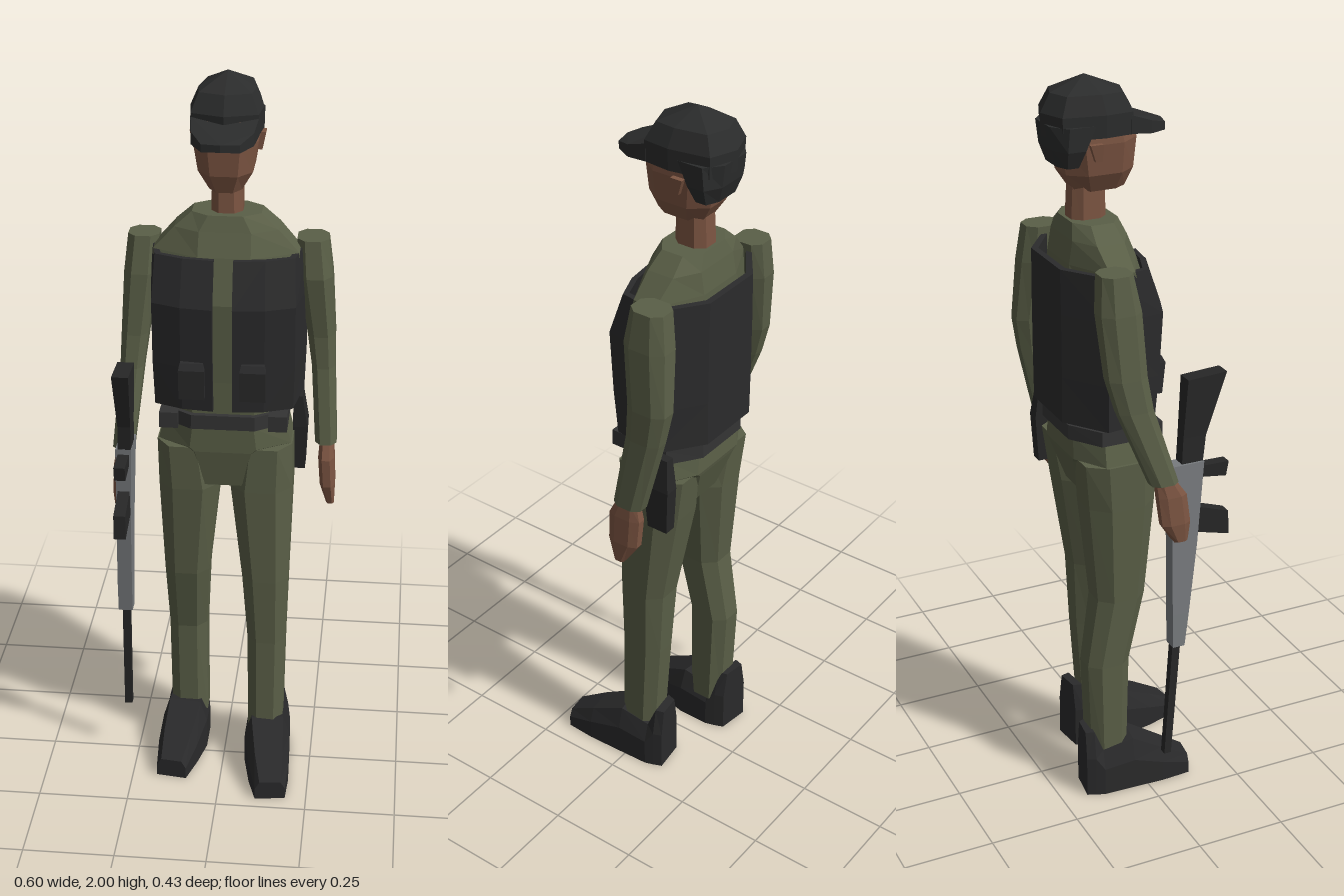
import * as THREE from 'three';

const mat = (name, color) => Object.assign(new THREE.MeshStandardMaterial({ color, flatShading: true }), { name });

// Octagonal cross-section at height y: a rectangle with cut corners
function oct(y, x0, x1, z0, z1, c = 0.25) {
  const a = (x1 - x0) * c, b = (z1 - z0) * c;
  return [[x0 + a, z0], [x1 - a, z0], [x1, z0 + b], [x1, z1 - b], [x1 - a, z1], [x0 + a, z1], [x0, z1 - b], [x0, z0 + b]]
    .map(([x, z]) => [x, y, z]);
}

// Rectangular cross-section; dy tilts it from back to front
const rect = (y, x0, x1, z0, z1, dy = 0) =>
  [[x0, y, z0], [x1, y, z0], [x1, y + dy, z1], [x0, y + dy, z1]];

// Closed, capped skin through a list of cross-sections; u and v are the axes of the cap plane
function loft(rings, u = 0, v = 2) {
  const n = rings[0].length, tris = [];
  for (let r = 0; r < rings.length - 1; r++) {
    for (let i = 0; i < n; i++) {
      const j = (i + 1) % n, a = rings[r], b = rings[r + 1];
      tris.push([a[i], b[i], b[j]], [a[i], b[j], a[j]]);
    }
  }
  // The first cap follows the ring order, the last cap runs against it
  const cap = (ring, last) => {
    const flat = ring.map(p => new THREE.Vector2(p[u], p[v]));
    const ccw = THREE.ShapeUtils.area(flat) > 0;
    for (const f of THREE.ShapeUtils.triangulateShape(flat, [])) {
      const sameWay = (THREE.ShapeUtils.area(f.map(i => flat[i])) > 0) === ccw;
      const t = f.map(i => ring[i]);
      tris.push(sameWay === last ? t.reverse() : t);
    }
  };
  cap(rings[0], false);
  cap(rings[rings.length - 1], true);
  // Turn the skin outward if its signed volume is negative
  let vol = 0;
  for (const [a, b, c] of tris) {
    vol += a[0] * (b[1] * c[2] - b[2] * c[1]) + a[1] * (b[2] * c[0] - b[0] * c[2]) + a[2] * (b[0] * c[1] - b[1] * c[0]);
  }
  if (vol < 0) tris.forEach(t => t.reverse());
  const g = new THREE.BufferGeometry();
  g.setAttribute('position', new THREE.Float32BufferAttribute(tris.flat(2), 3));
  g.computeVertexNormals();
  return g;
}

export function createModel() {
  const green = mat('olive cloth', 0x5a5f47);
  const black = mat('vest black', 0x2b2b2c);
  const belt = mat('belt grey', 0x343434);
  const boot = mat('boot black', 0x2a2a2b);
  const capM = mat('cap black', 0x2b2c2c);
  const skin = mat('skin', 0x7c5542);
  const steel = mat('gun grey', 0x787b7e);
  const dark = mat('gun black', 0x272727);

  const model = new THREE.Group();
  model.name = 'guard';
  const add = (name, material, rings, parent = model, u = 0, v = 2) => {
    const m = new THREE.Mesh(loft(rings, u, v), material);
    m.name = name;
    parent.add(m);
  };

  // Shirt and hips
  add('shirt', green, [
    oct(1.04, -0.16, 0.16, -0.17, 0.03), oct(1.2, -0.17, 0.17, -0.175, 0.03),
    oct(1.42, -0.185, 0.185, -0.18, 0.04), oct(1.54, -0.19, 0.19, -0.175, 0.01, 0.32),
    oct(1.6, -0.135, 0.135, -0.165, -0.015), oct(1.64, -0.09, 0.09, -0.155, -0.03)]);
  add('hips', green, [
    oct(0.895, -0.065, 0.065, -0.14, 0.025, 0.12), oct(1.0, -0.1, 0.1, -0.175, 0.04, 0.12),
    oct(1.012, -0.178, 0.178, -0.178, 0.04), oct(1.075, -0.163, 0.163, -0.175, 0.04)]);

  // Belt with side pouches and holster
  add('belt', belt, [oct(1.07, -0.17, 0.17, -0.19, 0.045), oct(1.11, -0.168, 0.168, -0.19, 0.045)]);
  for (const s of [-1, 1]) {
    add('beltPouch', belt, [1.068, 1.112].map(y => rect(y, s * 0.145 - 0.025, s * 0.145 + 0.025, -0.03, 0.04)));
  }
  add('holster', dark, [
    rect(0.89, 0.178, 0.212, -0.165, -0.105), rect(1.02, 0.178, 0.217, -0.172, -0.095),
    rect(1.11, 0.178, 0.203, -0.16, -0.1)]);

  // Vest: two mirrored shells, open down the middle of the chest
  const vestRow = (s, y, front, w) => {
    const outer = [[0.026, front], [0.11, front - 0.01], [0.187, front - 0.04], [0.209, -0.13], [0.095, -0.21], [0, -0.21]];
    const inner = outer.map(([x, z]) => [x * (x > 0.03 ? 0.92 : 1), (z + 0.08) * 0.87 - 0.08]).reverse();
    return [...outer, ...inner].map(([x, z]) => [s * x * w, y, z]);
  };
  for (const s of [-1, 1]) {
    const side = s > 0 ? 'left' : 'right';
    add(side + 'Vest', black, [
      vestRow(s, 1.125, 0.05, 0.98), vestRow(s, 1.25, 0.06, 1), vestRow(s, 1.42, 0.07, 1), vestRow(s, 1.54, 0.03, 0.97)]);
    add(side + 'VestPocket', black, [
      rect(1.165, s * 0.08 - 0.034, s * 0.08 + 0.034, 0.03, 0.066),
      rect(1.25, s * 0.08 - 0.034, s * 0.08 + 0.034, 0.03, 0.075),
      rect(1.268, s * 0.08 - 0.03, s * 0.08 + 0.03, 0.03, 0.066)]);
  }

  // Arms and hands
  add('leftArm', green, [
    oct(0.99, 0.24, 0.298, -0.135, -0.05), oct(1.2, 0.225, 0.287, -0.185, -0.083),
    oct(1.29, 0.212, 0.285, -0.2, -0.085), oct(1.46, 0.185, 0.275, -0.19, -0.065),
    oct(1.56, 0.18, 0.262, -0.177, -0.08)]);
  add('leftHand', skin, [
    oct(0.81, 0.275, 0.296, -0.085, -0.055), oct(0.87, 0.256, 0.297, -0.125, -0.035),
    oct(0.95, 0.25, 0.293, -0.13, -0.035), oct(1.0, 0.253, 0.288, -0.12, -0.06)]);
  add('rightArm', green, [
    oct(0.99, -0.3, -0.243, -0.045, 0.03), oct(1.2, -0.285, -0.222, -0.13, -0.035),
    oct(1.29, -0.282, -0.21, -0.155, -0.05), oct(1.46, -0.273, -0.185, -0.17, -0.06),
    oct(1.56, -0.262, -0.18, -0.164, -0.08)]);
  add('rightHand', skin, [
    oct(0.815, -0.29, -0.262, 0.02, 0.06), oct(0.87, -0.297, -0.255, -0.015, 0.065),
    oct(0.95, -0.295, -0.25, -0.025, 0.055), oct(1.0, -0.288, -0.253, -0.03, 0.02)]);

  // Legs
  add('leftLeg', green, [
    oct(0.1, 0.07, 0.168, -0.075, 0.035), oct(0.4, 0.066, 0.172, -0.095, 0.03),
    oct(0.6, 0.05, 0.177, -0.105, 0.035), oct(0.88, 0.016, 0.184, -0.15, 0.038),
    oct(1.01, 0.035, 0.182, -0.168, 0.037)]);
  add('rightLeg', green, [
    oct(0.1, -0.158, -0.055, -0.15, -0.045), oct(0.4, -0.162, -0.056, -0.162, -0.04),
    oct(0.6, -0.168, -0.045, -0.132, 0.005), oct(0.88, -0.179, -0.015, -0.155, 0.033),
    oct(1.01, -0.182, -0.035, -0.168, 0.037)]);

  // Boots: cross-sections run from the raised heel over the ankle to the toe
  const bootRing = (s, x, z, h, w) =>
    [[-w, 0], [w, 0], [w, h * 0.6], [w * 0.7, h], [-w * 0.7, h], [-w, h * 0.6]]
      .map(([dx, y]) => [s * (x + dx), y, z - dx * 0.13]);
  for (const [s, name, x, heel, toe] of [[1, 'leftBoot', 0.125, -0.112, 0.209], [-1, 'rightBoot', 0.115, -0.172, 0.134]]) {
    add(name, boot, [
      bootRing(s, x, heel, 0.197, 0.044), bootRing(s, x, heel + 0.025, 0.197, 0.054),
      bootRing(s, x, heel + 0.05, 0.135, 0.062), bootRing(s, x + 0.002, heel + 0.14, 0.15, 0.064),
      bootRing(s, x + 0.014, toe - 0.08, 0.1, 0.056), bootRing(s, x + 0.024, toe, 0.055, 0.042)], model, 0, 1);
  }

  // Neck, head and ears
  add('neck', skin, [oct(1.6, -0.042, 0.042, -0.148, -0.05), oct(1.76, -0.038, 0.038, -0.14, -0.055)]);
  add('head', skin, [
    oct(1.712, -0.042, 0.042, -0.135, 0.0), oct(1.76, -0.07, 0.07, -0.165, 0.018),
    oct(1.84, -0.083, 0.083, -0.185, 0.024), oct(1.9, -0.08, 0.08, -0.185, 0.01)]);
  for (const s of [-1, 1]) {
    add('ear', skin, [
      rect(1.8, s * 0.082 - 0.006, s * 0.082 + 0.006, -0.108, -0.09),
      rect(1.845, s * 0.087 - 0.01, s * 0.087 + 0.01, -0.125, -0.09)]);
  }

  // Hair at the back of the head, cap crown and brim
  add('hair', capM, [
    oct(1.785, -0.068, 0.068, -0.19, -0.13), oct(1.83, -0.086, 0.086, -0.205, -0.108),
    oct(1.89, -0.088, 0.088, -0.212, -0.07)]);
  const crown = (y, k) =>
    [[0, -0.217], [0.075, -0.19], [0.093, -0.08], [0.085, -0.005], [0, 0.024], [-0.085, -0.005], [-0.093, -0.08], [-0.075, -0.19]]
      .map(([x, z]) => [x * k, y, -0.1 + (z + 0.1) * k]);
  add('capCrown', capM, [crown(1.858, 0.98), crown(1.915, 1), crown(1.962, 0.78), crown(2.0, 0.01)]);
  const brim = (root, tip) => [[-0.086, -0.01], [0.086, -0.01], [0.078, 0.05], [0.048, 0.1], [0, 0.11], [-0.048, 0.1], [-0.078, 0.05]]
    .map(([x, z]) => [x, root + (tip - root) * (z + 0.01) / 0.12 - Math.abs(x) * 0.1, z]);
  add('capBrim', capM, [brim(1.868, 1.852), brim(1.915, 1.87)]);

  // Rifle carried muzzle down beside the right leg
  const rifle = new THREE.Group();
  rifle.name = 'rifle';
  model.add(rifle);
  add('stock', dark, [
    rect(1.02, -0.273, -0.238, 0.045, 0.105), rect(1.1, -0.27, -0.236, 0.05, 0.115),
    rect(1.262, -0.274, -0.23, 0.06, 0.17, 0.006)], rifle);
  add('receiver', steel, [
    rect(0.5, -0.291, -0.252, 0.018, 0.052), rect(0.6, -0.29, -0.25, 0.016, 0.064),
    rect(0.8, -0.284, -0.245, 0.016, 0.088), rect(1.03, -0.279, -0.237, 0.01, 0.107)], rifle);
  add('barrel', dark, [rect(0.165, -0.286, -0.265, -0.002, 0.018), rect(0.52, -0.281, -0.26, 0.022, 0.045)], rifle);
  add('grip', dark, [
    rect(0.985, -0.273, -0.243, 0.09, 0.175, -0.012), rect(1.015, -0.273, -0.243, 0.09, 0.182, -0.002)], rifle);
  add('magazine', dark, [
    rect(0.83, -0.277, -0.245, 0.08, 0.185, -0.028), rect(0.905, -0.277, -0.245, 0.08, 0.182, -0.035)], rifle);
  return model;
}
